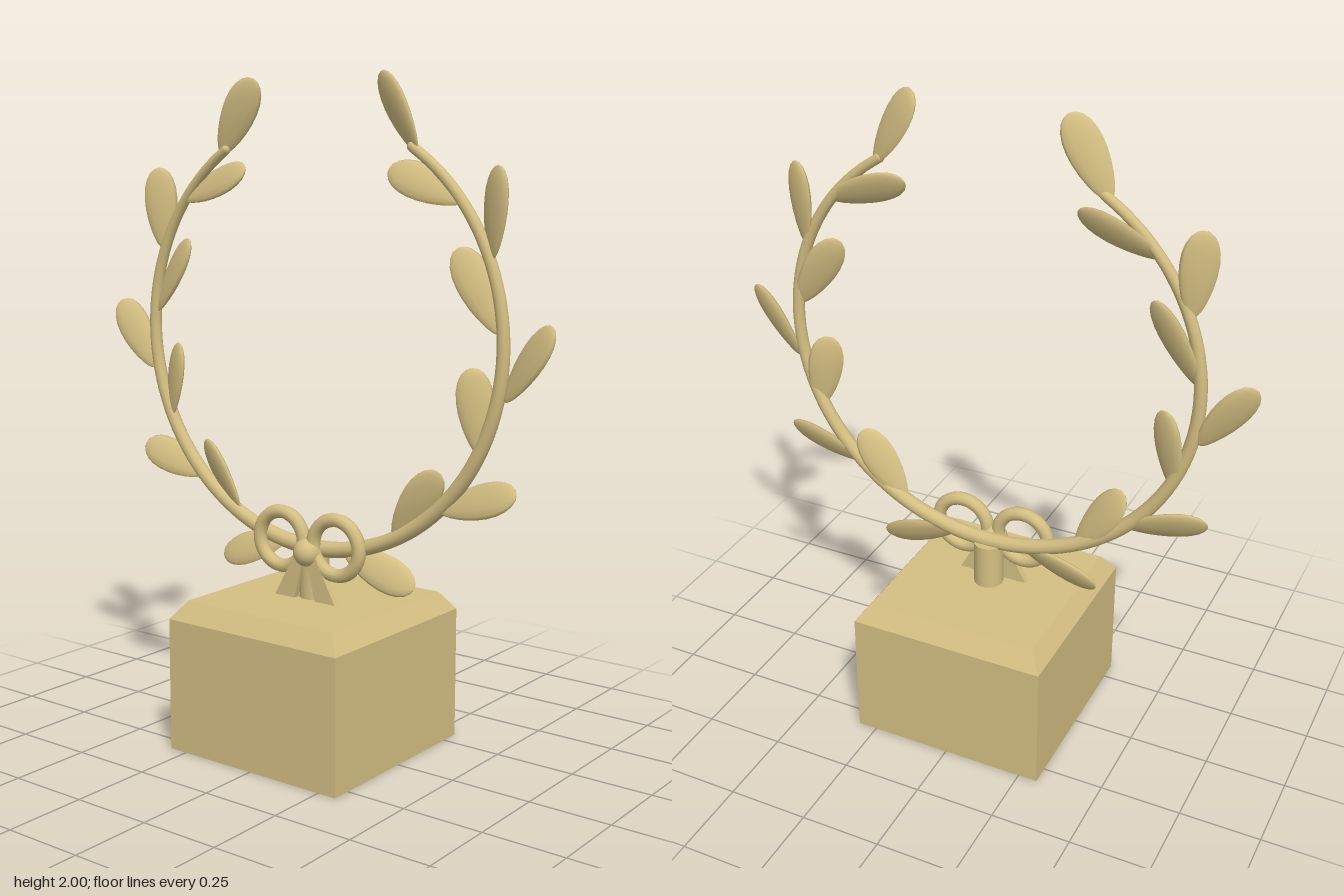
import * as THREE from 'three';
import { toCreasedNormals } from 'three/addons/utils/BufferGeometryUtils.js';

const brass = new THREE.MeshStandardMaterial({ color: 0xd4bf82 });
brass.name = 'pale brass';

const RING = 0.64, RING_Y = 1.25;

function add(parent, name, geometry, x = 0, y = 0, z = 0) {
  const mesh = new THREE.Mesh(geometry, brass);
  mesh.name = name;
  mesh.position.set(x, y, z);
  parent.add(mesh);
  return mesh;
}

// Tapered stem following a circular arc from the bottom up to one tip
function stemGeometry(side) {
  const points = [];
  for (let i = 0; i <= 24; i++) {
    const a = THREE.MathUtils.degToRad(-90 + (148 * i) / 24);
    points.push(new THREE.Vector3(side * RING * Math.cos(a), RING_Y + RING * Math.sin(a), 0));
  }
  const curve = new THREE.CatmullRomCurve3(points);
  const segments = 48, sides = 10;
  const geo = new THREE.TubeGeometry(curve, segments, 1, sides);
  const pos = geo.attributes.position, v = new THREE.Vector3();
  for (let i = 0; i < pos.count; i++) {
    const t = Math.floor(i / (sides + 1)) / segments;
    const c = curve.getPointAt(t);
    v.fromBufferAttribute(pos, i).sub(c).multiplyScalar(0.025 - 0.01 * t).add(c);
    pos.setXYZ(i, v.x, v.y, v.z);
  }
  return geo;
}

// Lens-shaped leaf along +y, narrow at the base and blunt at the tip
function leafGeometry(length) {
  const geo = new THREE.SphereGeometry(1, 12, 12);
  const pos = geo.attributes.position;
  for (let i = 0; i < pos.count; i++) {
    const y = pos.getY(i), w = 0.96 + 0.26 * y;
    pos.setXYZ(i, pos.getX(i) * 0.054 * w, (y + 1) * length / 2, pos.getZ(i) * 0.016 * w);
  }
  geo.computeVertexNormals();
  return geo;
}

// base x, base y, tip x, tip y, roll direction
const LEAVES = [
  [0.355, 1.78, 0.23, 2.0, -1],
  [0.51, 1.645, 0.262, 1.735, 1],
  [0.60, 1.49, 0.615, 1.742, -1],
  [0.635, 1.29, 0.49, 1.52, 1],
  [0.645, 1.11, 0.79, 1.32, -1],
  [0.58, 0.95, 0.54, 1.195, 1],
  [0.44, 0.785, 0.69, 0.86, -1],
  [0.29, 0.68, 0.435, 0.895, 1],
  [0.11, 0.62, 0.36, 0.54, -1],
];

function branch(side) {
  const group = new THREE.Group();
  group.name = side > 0 ? 'leftBranch' : 'rightBranch';
  add(group, 'stem', stemGeometry(side));
  const tip = RING * Math.cos(THREE.MathUtils.degToRad(58));
  add(group, 'stemEnd', new THREE.SphereGeometry(0.015, 10, 8), side * tip, RING_Y + 0.543, 0);
  for (const [bx, by, tx, ty, roll] of LEAVES) {
    const dx = side * (tx - bx), dy = ty - by;
    const leaf = add(group, 'leaf', leafGeometry(Math.hypot(dx, dy)), side * bx, by, 0);
    leaf.rotation.order = 'ZYX';
    leaf.rotation.z = Math.atan2(-dx, dy);
    leaf.rotation.y = side * roll * 0.45;
  }
  return group;
}

// Ribbon tail hanging from the knot and flaring towards its end
function tailGeometry(side) {
  const shape = new THREE.Shape([[0, 0.61], [0.03, 0.61], [0.115, 0.455], [0.04, 0.455]]
    .map(([x, y]) => new THREE.Vector2(side * x, y)));
  return new THREE.ExtrudeGeometry(shape, { depth: 0.02, bevelEnabled: false });
}

export function createModel() {
  const model = new THREE.Group();
  model.name = 'laurelTrophy';

  // Square pedestal with a chamfered top
  add(model, 'pedestal', new THREE.BoxGeometry(0.62, 0.405, 0.62), 0, 0.2025, 0);
  const cap = new THREE.CylinderGeometry(0.27 * Math.SQRT2, 0.31 * Math.SQRT2, 0.055, 4);
  cap.rotateY(Math.PI / 4);
  add(model, 'pedestalChamfer', toCreasedNormals(cap, 0.3), 0, 0.4325, 0);

  // Post holding up the wreath
  add(model, 'post', new THREE.CylinderGeometry(0.046, 0.046, 0.15, 16), 0, 0.528, 0);

  const wreath = new THREE.Group();
  wreath.name = 'wreath';
  model.add(wreath);

  const bow = new THREE.Group();
  bow.name = 'bow';
  model.add(bow);

  for (const side of [1, -1]) {
    wreath.add(branch(side));
    add(bow, 'bowLoop', new THREE.TorusGeometry(0.084, 0.021, 10, 32), side * 0.102, 0.63, 0.03);
    add(bow, 'bowTail', tailGeometry(side), 0, 0, 0.03);
  }
  add(bow, 'knot', new THREE.SphereGeometry(0.043, 20, 14), 0, 0.603, 0.036);

  return model;
}
